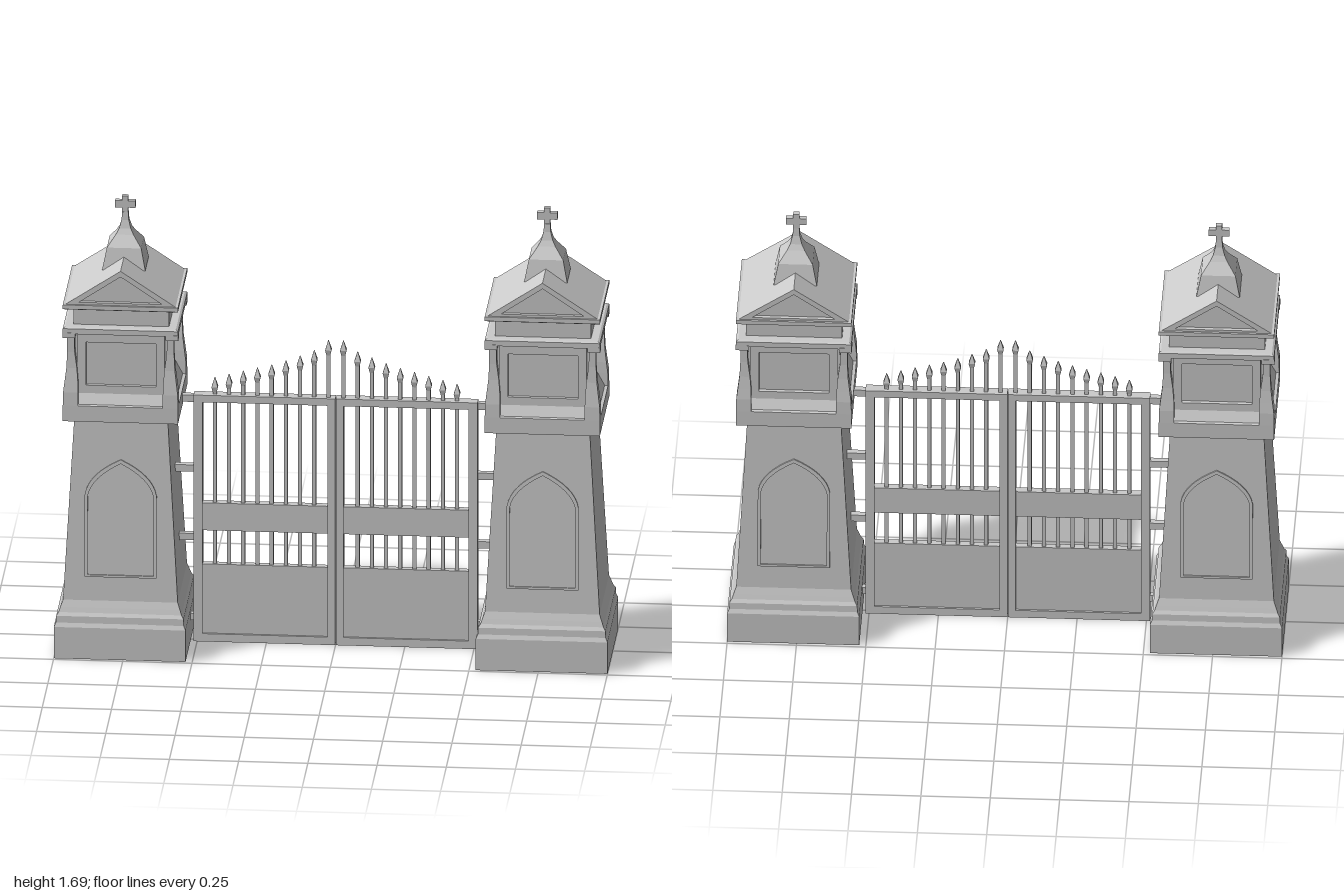
import * as THREE from 'three';

const stone = new THREE.MeshStandardMaterial({ color: 0xcccccc, flatShading: true });

function add(parent, name, geometry, x = 0, y = 0, z = 0) {
  const mesh = new THREE.Mesh(geometry, stone);
  mesh.name = name;
  mesh.position.set(x, y, z);
  parent.add(mesh);
  return mesh;
}

// Box given by its centre x, bottom and top heights, width and depth
function block(parent, name, x, y0, y1, w, d, z = 0) {
  return add(parent, name, new THREE.BoxGeometry(w, y1 - y0, d), x, (y0 + y1) / 2, z);
}

// Solid through stacked rectangles: rows of [y, x0, x1, z0, z1], bottom to top
function loft(rows) {
  const pos = [], index = [];
  for (const [y, x0, x1, z0, z1] of rows) pos.push(x0, y, z1, x1, y, z1, x1, y, z0, x0, y, z0);
  for (let r = 0; r < rows.length - 1; r++) {
    for (let i = 0; i < 4; i++) {
      const a = r * 4 + i, b = r * 4 + (i + 1) % 4;
      index.push(a, b, b + 4, a, b + 4, a + 4);
    }
  }
  const t = (rows.length - 1) * 4;
  index.push(0, 2, 1, 0, 3, 2, t, t + 1, t + 2, t, t + 2, t + 3);
  const g = new THREE.BufferGeometry();
  g.setAttribute('position', new THREE.Float32BufferAttribute(pos, 3));
  g.setIndex(index);
  const flat = g.toNonIndexed();
  flat.computeVertexNormals();
  return flat;
}

// Centred loft: rows of [y, half width, half depth]
const tower = (rows) => loft(rows.map(([y, hx, hz = hx]) => [y, -hx, hx, -hz, hz]));

const polygon = (points) => new THREE.Shape(points.map(([x, y]) => new THREE.Vector2(x, y)));
const rect = (h, y0, y1) => polygon([[-h, y0], [h, y0], [h, y1], [-h, y1]]);

function extrude(shape, z0, z1, hole) {
  if (hole) shape.holes.push(hole);
  const g = new THREE.ExtrudeGeometry(shape, { depth: z1 - z0, bevelEnabled: false, curveSegments: 8 });
  return g.translate(0, 0, z0);
}

function arch(half, bottom, spring, apex) {
  const s = new THREE.Shape();
  s.moveTo(-half, bottom);
  s.lineTo(half, bottom);
  s.lineTo(half, spring);
  s.quadraticCurveTo(half * 0.9, apex - 0.055, 0, apex);
  s.quadraticCurveTo(-half * 0.9, apex - 0.055, -half, spring);
  return s;
}

function createPillar() {
  const pillar = new THREE.Group();
  pillar.name = 'pillar';

  // Plinth, base moulding and tapered shaft
  add(pillar, 'shaft', tower([
    [0, 0.238], [0.12, 0.238], [0.135, 0.231], [0.16, 0.23], [0.172, 0.222],
    [0.19, 0.216], [0.215, 0.207], [0.9, 0.169, 0.176],
  ]));

  // Head: lower block with sloping sill, core and four flared corner piers
  add(pillar, 'headBlock', tower([[0.9, 0.208], [0.96, 0.208], [0.962, 0.196], [1.015, 0.168]]));
  block(pillar, 'headCore', 0, 1.0, 1.25, 0.33, 0.33);
  const pierRows = [[0.96, 0.153, 0.208], [1.01, 0.153, 0.207], [1.05, 0.154, 0.202],
    [1.1, 0.158, 0.196], [1.16, 0.166, 0.193], [1.23, 0.168, 0.193]];
  for (const sx of [-1, 1]) for (const sz of [-1, 1]) {
    const span = (s, a, b) => (s > 0 ? [a, b] : [-b, -a]);
    add(pillar, 'cornerPier', loft(pierRows.map(([y, a, b]) => [y, ...span(sx, a, b), ...span(sz, a, b)])));
    block(pillar, 'pierCapital', sx * 0.186, 1.22, 1.24, 0.046, 0.046, sz * 0.186);
  }
  add(pillar, 'headCornice', tower([[1.235, 0.208], [1.255, 0.208], [1.26, 0.2]]));
  block(pillar, 'neck', 0, 1.25, 1.335, 0.346, 0.342);

  // Gabled roof with sunken pediments
  add(pillar, 'eaves', tower([[1.325, 0.197], [1.33, 0.208], [1.346, 0.208]]));
  add(pillar, 'roof', extrude(
    polygon([[-0.208, 1.34], [0.208, 1.34], [0, 1.478]]), -0.2, 0.2,
    polygon([[-0.15, 1.355], [0, 1.456], [0.15, 1.355]])));
  add(pillar, 'pediment', extrude(polygon([[-0.17, 1.345], [0.17, 1.345], [0, 1.465]]), -0.185, 0.185));

  // Spire and cross
  const spire = new THREE.Group();
  spire.name = 'spire';
  spire.position.z = -0.018;
  add(spire, 'spireBase', tower([
    [1.43, 0.078], [1.51, 0.062], [1.53, 0.047], [1.55, 0.032], [1.57, 0.021],
    [1.6, 0.013], [1.63, 0.011],
  ]));
  block(spire, 'crossStem', 0, 1.61, 1.69, 0.022, 0.02);
  block(spire, 'crossArm', 0, 1.646, 1.672, 0.074, 0.02);
  pillar.add(spire);

  // Framed panel on the head and pointed arch on the shaft, front and back
  for (const turn of [0, Math.PI]) {
    const face = new THREE.Group();
    face.name = 'faceDetail';
    face.rotation.y = turn;
    add(face, 'panelFrame', extrude(rect(0.158, 1.0, 1.235), 0.16, 0.18, rect(0.126, 1.03, 1.195)));
    const moulding = add(face, 'archMoulding', extrude(
      arch(0.13, 0, 0.31, 0.445), -0.005, 0.005, arch(0.119, 0.008, 0.305, 0.43)), 0, 0.305, 0.2035);
    moulding.rotation.x = -0.045;
    pillar.add(face);
  }
  return pillar;
}

// One gate leaf, spanning x = 0 to 0.513
function createLeaf(side) {
  const leaf = new THREE.Group();
  leaf.name = side > 0 ? 'leftGate' : 'rightGate';
  const piece = (name, x0, x1, y0, y1, d) => block(leaf, name, side * (x0 + x1) / 2, y0, y1, x1 - x0, d);
  piece('innerStile', 0.001, 0.029, 0, 0.945, 0.042);
  piece('outerStile', 0.481, 0.513, 0, 0.945, 0.042);
  piece('topRail', 0.029, 0.481, 0.918, 0.945, 0.042);
  piece('bottomRail', 0.029, 0.481, 0, 0.03, 0.042);
  piece('middleRail', 0.029, 0.481, 0.425, 0.53, 0.03);
  piece('kickPanel', 0.029, 0.481, 0.03, 0.295, 0.026);

  // Bars with spearheads, falling away from the middle
  const tips = [1.162, 1.122, 1.1, 1.08, 1.063, 1.049, 1.036, 1.022, 1.008];
  tips.forEach((tip, i) => {
    const x = 0.027 + 0.0513 * i;
    piece('bar', x - 0.007, x + 0.007, i ? 0.29 : 0.94, tip - 0.055, 0.014);
    add(leaf, 'spearhead', tower([[tip - 0.06, 0.006], [tip - 0.036, 0.0115], [tip, 0.001]]), side * x);
  });

  // Hinge arms into the pillar
  for (const y of [0.09, 0.397, 0.66, 0.928]) piece('hinge', 0.505, 0.61, y - 0.013, y + 0.013, 0.024);
  return leaf;
}

export function createModel() {
  const model = new THREE.Group();
  model.name = 'gateway';
  for (const side of [-1, 1]) {
    const pillar = createPillar();
    pillar.position.x = side * 0.762;
    model.add(pillar, createLeaf(side));
  }
  return model;
}
